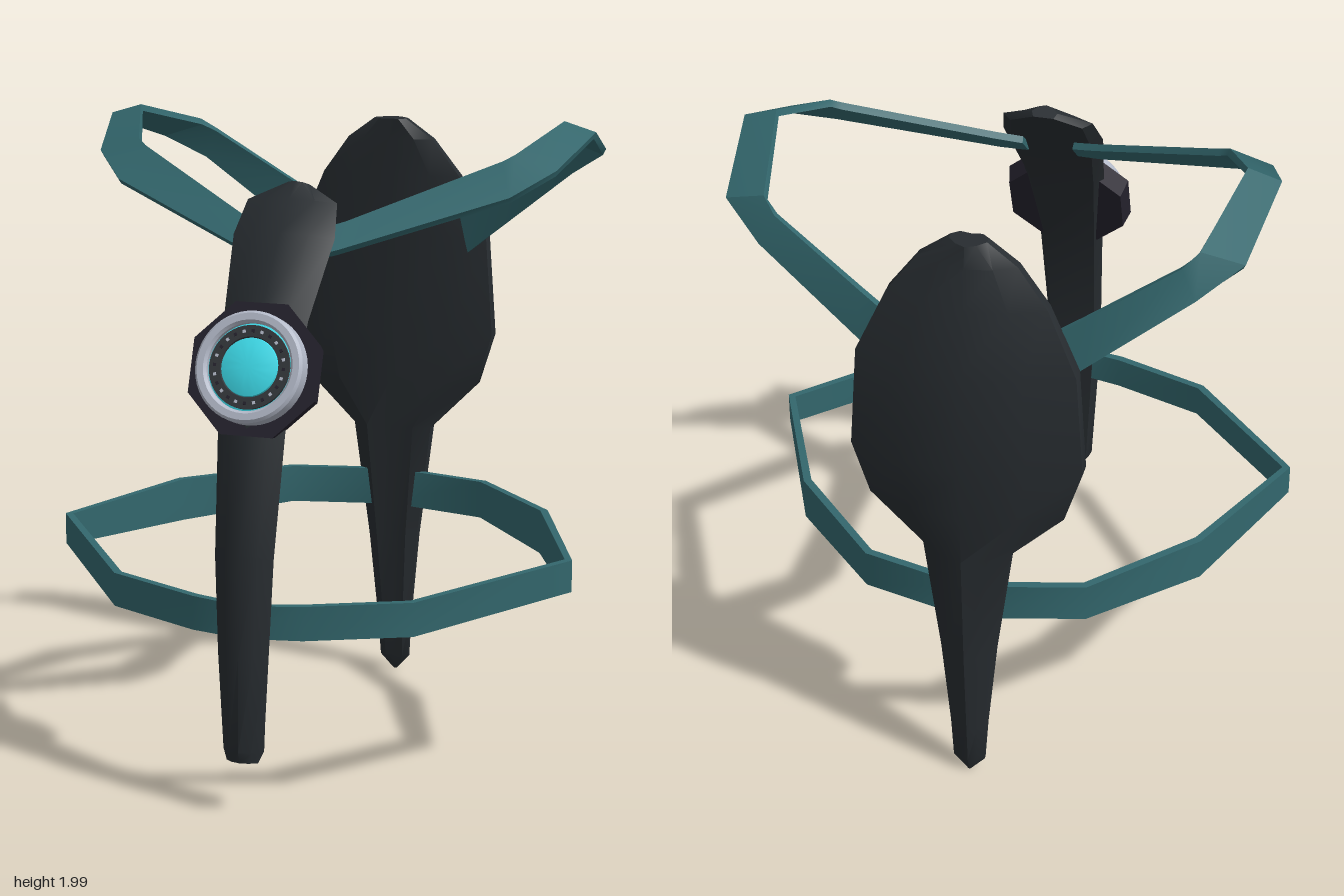
import * as THREE from 'three';
import { toCreasedNormals } from 'three/addons/utils/BufferGeometryUtils.js';

const paint = (color) => new THREE.MeshStandardMaterial({ color, side: THREE.DoubleSide });
const TEAL = paint(0x33676d), PLATE = paint(0x272c30), BASE = paint(0x25222d);
const SILVER = paint(0xb4bac9), GLOW = paint(0x3fdfee), DARK = paint(0x34383c);

// Skin a row of equal-sized cross-sections; capped unless the row is a closed loop.
function loft(sections, closed = false, crease = 0.6) {
  const n = sections[0].length, m = sections.length;
  const pts = sections.flat(), index = [];
  for (let i = 0; i < (closed ? m : m - 1); i++) {
    for (let j = 0; j < n; j++) {
      const k = (j + 1) % n, a = i * n, b = ((i + 1) % m) * n;
      index.push(a + j, a + k, b + k, a + j, b + k, b + j);
    }
  }
  if (!closed) {
    for (let j = 1; j < n - 1; j++) {
      const e = (m - 1) * n;
      index.push(0, j + 1, j, e, e + j, e + j + 1);
    }
  }
  // Turn all faces outward, judged by the signed volume
  let volume = 0;
  for (let i = 0; i < index.length; i += 3) {
    volume += pts[index[i]].dot(pts[index[i + 1]].clone().cross(pts[index[i + 2]]));
  }
  if (volume < 0) index.reverse();
  const geo = new THREE.BufferGeometry().setFromPoints(pts);
  geo.setIndex(index);
  return toCreasedNormals(geo, crease);
}

// Flat band between two edge lines, given a thickness
function ribbon(edges, thickness, closed = false) {
  const m = edges.length;
  const mid = edges.map(([a, b]) => a.clone().add(b).multiplyScalar(0.5));
  return loft(edges.map(([a, b], i) => {
    const next = closed ? mid[(i + 1) % m] : mid[Math.min(i + 1, m - 1)];
    const prev = closed ? mid[(i + m - 1) % m] : mid[Math.max(i - 1, 0)];
    const off = next.clone().sub(prev).cross(b.clone().sub(a)).normalize().multiplyScalar(thickness / 2);
    return [a.clone().add(off), b.clone().add(off), b.clone().sub(off), a.clone().sub(off)];
  }), closed);
}

const V = (x, y, z) => new THREE.Vector3(x, y, z);

export function createModel() {
  const model = new THREE.Group();
  model.name = 'chestHarness';
  const add = (name, geo, mat, parent = model) => {
    const mesh = new THREE.Mesh(geo, mat);
    mesh.name = name;
    parent.add(mesh);
    return mesh;
  };

  // Back plate: height, half width, front z, back z
  const plate = [
    [0.01, 0.006, -0.715, -0.725], [0.06, 0.05, -0.70, -0.74], [0.2, 0.058, -0.685, -0.75],
    [0.5, 0.085, -0.66, -0.77], [0.89, 0.135, -0.638, -0.785], [1.05, 0.295, -0.63, -0.787],
    [1.22, 0.348, -0.625, -0.79], [1.55, 0.325, -0.62, -0.785], [1.75, 0.235, -0.615, -0.735],
    [1.87, 0.145, -0.61, -0.705], [1.935, 0.055, -0.61, -0.69],
  ];
  add('backPlate', loft(plate.map(([y, w, f, b]) => {
    const z = (t) => f + (b - f) * t;
    return [[0, 0.06], [0.6, 0], [1, 0.22], [1, 0.5], [0.55, 0.82], [0, 1],
      [-0.55, 0.82], [-1, 0.5], [-1, 0.22], [-0.6, 0]].map(([x, t]) => V(x * w, y, z(t)));
  })), PLATE);

  // Front spine: half width, front y and z, back y and z
  const spine = [
    [0.05, 0.175, 0.785, 0.17, 0.737], [0.064, 0.21, 0.796, 0.20, 0.71], [0.08, 0.5, 0.788, 0.5, 0.71],
    [0.092, 0.81, 0.77, 0.78, 0.70], [0.106, 1.2, 0.70, 1.17, 0.63], [0.132, 1.49, 0.585, 1.46, 0.505],
    [0.16, 1.71, 0.425, 1.68, 0.355], [0.142, 1.80, 0.34, 1.78, 0.29], [0.04, 1.847, 0.29, 1.825, 0.25],
  ];
  add('frontSpine', loft(spine.map(([w, fy, fz, by, bz]) =>
    [[0, 0], [0.55, 0.15], [1, 0.55], [0.8, 1], [-0.8, 1], [-1, 0.55], [-0.55, 0.15]]
      .map(([x, t]) => V(x * w, fy + (by - fy) * t, fz + (bz - fz) * t)))), PLATE);

  // Shoulder straps: inner edge, then outer edge, from spine to back plate
  const strap = [
    [[0.08, 1.70, 0.315], [0.08, 1.63, 0.395]],
    [[0.16, 1.725, 0.28], [0.16, 1.65, 0.36]],
    [[0.58, 1.895, 0.055], [0.63, 1.80, 0.155]],
    [[0.61, 1.912, 0.035], [0.74, 1.87, 0.04]],
    [[0.70, 1.99, -0.19], [0.80, 1.96, -0.19]],
    [[0.63, 1.91, -0.53], [0.755, 1.87, -0.505]],
    [[0.59, 1.88, -0.565], [0.635, 1.79, -0.585]],
    [[0.33, 1.71, -0.625], [0.33, 1.55, -0.64]],
    [[0.22, 1.64, -0.65], [0.22, 1.46, -0.66]],
  ];
  for (const [name, s] of [['leftShoulderStrap', 1], ['rightShoulderStrap', -1]]) {
    const edges = strap.map((pair) => pair.map(([x, y, z]) => V(s * x, y, z)));
    add(name, ribbon(edges, 0.022), TEAL);
  }

  // Waist strap: x, z, bottom y, top y for one half, mirrored into a loop
  const half = [[0.17, 0.7, 0.55, 0.655], [0.47, 0.585, 0.56, 0.665], [0.83, 0.15, 0.61, 0.71],
    [0.63, -0.31, 0.592, 0.733], [0.34, -0.61, 0.61, 0.733]];
  const loop = [[0, 0.735, 0.55, 0.65], ...half, [0, -0.69, 0.61, 0.733],
    ...half.map(([x, ...r]) => [-x, ...r]).reverse()];
  add('waistStrap', ribbon(loop.map(([x, z, lo, hi]) => [V(x, lo, z), V(x, hi, z)]), 0.025, true), TEAL);

  // Round emblem on the spine, leaning back
  const emblem = new THREE.Group();
  emblem.name = 'emblem';
  emblem.position.set(0, 1.341, 0.643);
  emblem.rotation.x = -0.358;
  model.add(emblem);
  const facing = (geo) => geo.rotateX(Math.PI / 2);
  const turn = (profile, sides = 48) => toCreasedNormals(
    facing(new THREE.LatheGeometry(profile.map(([r, y]) => new THREE.Vector2(r, y)), sides)), 0.6);

  const octagon = new THREE.CylinderGeometry(0.214, 0.2, 0.065, 8).rotateY(Math.PI / 8).translate(0, -0.033, 0);
  add('emblemBase', toCreasedNormals(facing(octagon), 0.5), BASE, emblem);
  add('silverRing', turn([[0.166, -0.005], [0.166, 0.046], [0.158, 0.055], [0.138, 0.055],
    [0.13, 0.046], [0.13, 0], [0.166, -0.005]]), SILVER, emblem);
  add('glowRim', turn([[0.132, 0.03], [0.12, 0.034], [0.12, 0.02]]), GLOW, emblem);
  add('darkRing', turn([[0.124, 0.02], [0.124, 0.042], [0.09, 0.042], [0.086, 0.03]]), DARK, emblem);
  add('gem', turn([[0.09, 0.025], [0.086, 0.042], [0.06, 0.05], [0.03, 0.054], [0, 0.055]]), GLOW, emblem);

  // Studs around the dark ring
  for (let i = 0; i < 24; i++) {
    const a = (i / 24) * Math.PI * 2;
    const stud = add('stud', new THREE.BoxGeometry(0.009, 0.009, 0.006), i % 2 ? SILVER : BASE, emblem);
    stud.position.set(Math.cos(a) * 0.107, Math.sin(a) * 0.107, 0.042);
    stud.rotation.z = a;
  }
  return model;
}
